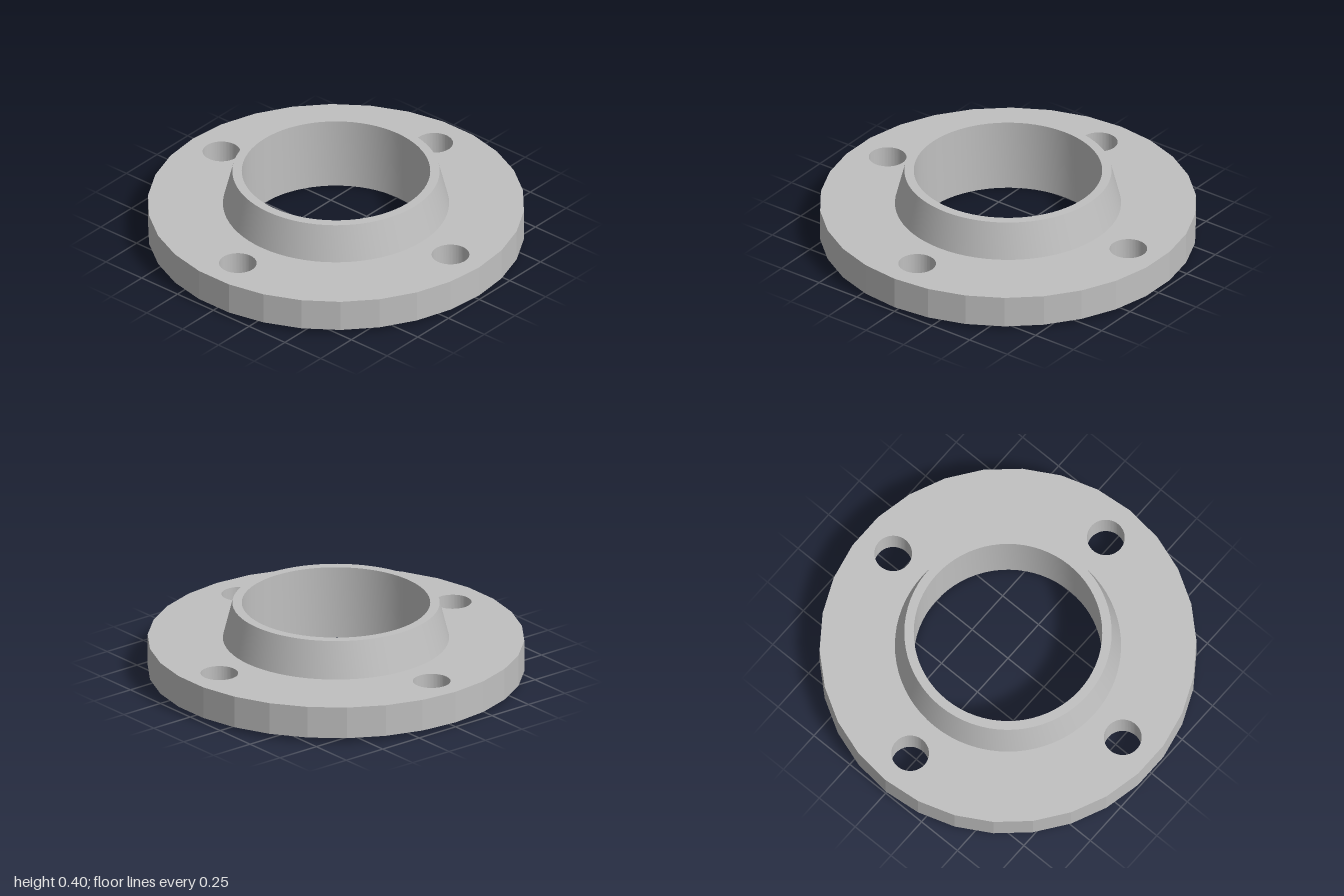
import * as THREE from 'three';
import { toCreasedNormals } from 'three/addons/utils/BufferGeometryUtils.js';

const CREASE = 0.2; // below the 12 degree step of the flange rim, so its facets stay flat

export function createModel() {
  const group = new THREE.Group();
  const steel = new THREE.MeshStandardMaterial({ color: 0xc0c0c0 });
  steel.name = 'steel grey';

  function add(name, geometry) {
    const mesh = new THREE.Mesh(toCreasedNormals(geometry, CREASE), steel);
    mesh.name = name;
    group.add(mesh);
  }

  // Turned surface from [radius, height] pairs, outer sides listed upwards
  function turned(name, profile) {
    const points = profile.map(([r, y]) => new THREE.Vector2(r, y));
    add(name, new THREE.LatheGeometry(points, 72));
  }

  // Flange plate: 30-sided rim, four bolt holes, centre opening hidden in the hub wall
  const rim = [];
  for (let i = 0; i < 30; i++) {
    const a = (i / 30) * Math.PI * 2;
    rim.push(new THREE.Vector2(Math.cos(a), Math.sin(a)));
  }
  const plate = new THREE.Shape(rim);
  const hole = (x, y, r) => plate.holes.push(new THREE.Path().absarc(x, y, r, 0, Math.PI * 2, true));
  hole(0, 0, 0.57);
  for (const [x, y] of [[0.8, 0], [0, 0.8], [-0.8, 0], [0, -0.8]]) hole(x, y, 0.1);
  const flange = new THREE.ExtrudeGeometry(plate, { depth: 0.175, bevelEnabled: false, curveSegments: 48 });
  flange.rotateX(-Math.PI / 2).translate(0, 0.025, 0);
  add('flange', flange);

  // Tapered neck with its top lip
  turned('neck', [[0.6, 0.2], [0.55, 0.4], [0.5, 0.4]]);

  // Through bore
  turned('bore', [[0.5, 0.4], [0.5, 0]]);

  // Raised sealing face underneath
  turned('raisedFace', [[0.5, 0], [0.65, 0], [0.65, 0.025]]);

  return group;
}
